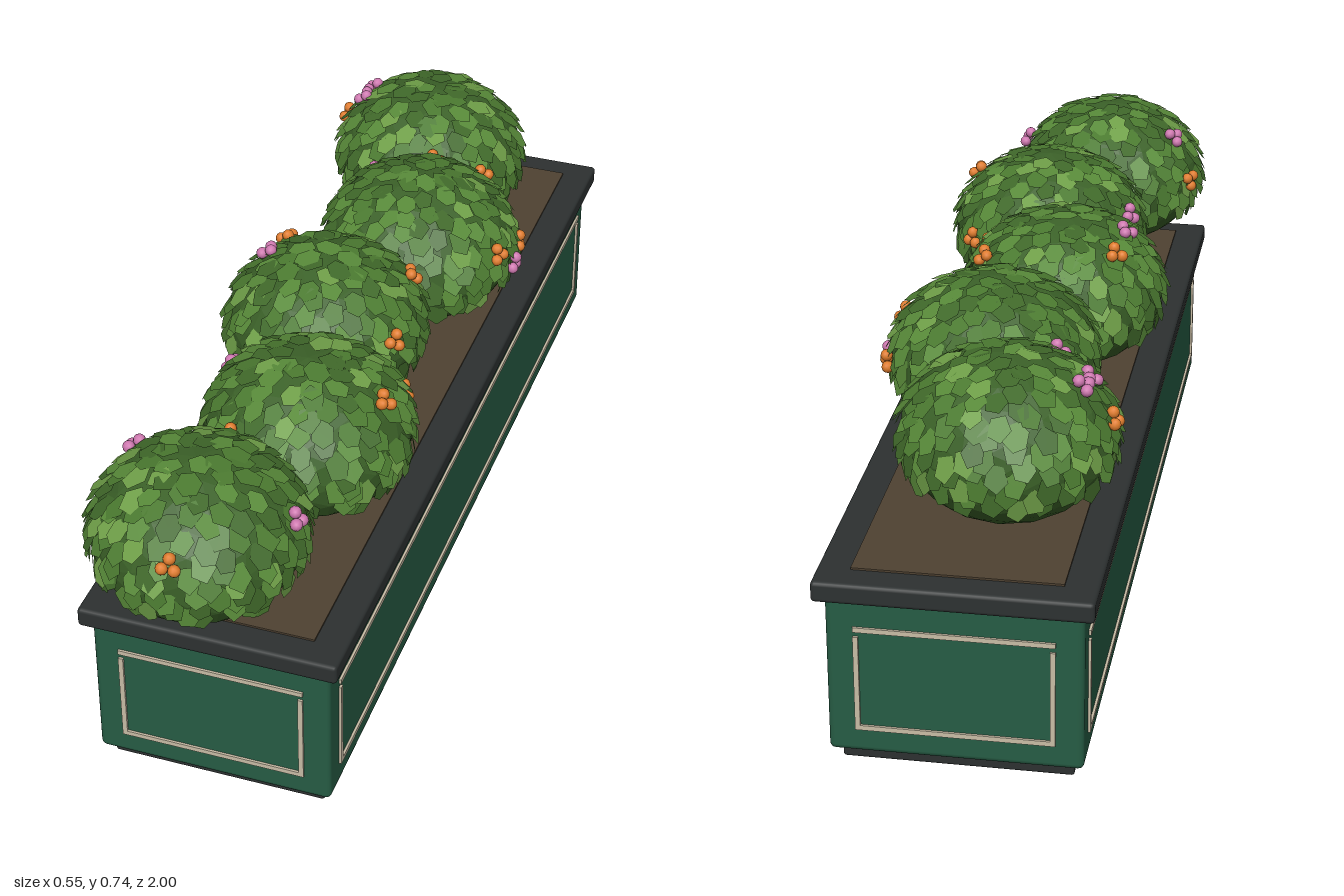
import * as THREE from 'three';
import { mergeGeometries } from 'three/addons/utils/BufferGeometryUtils.js';
import { RoundedBoxGeometry } from 'three/addons/geometries/RoundedBoxGeometry.js';

const mat = (color, extra = {}) => new THREE.MeshStandardMaterial({ color, ...extra });
const MID_Z = -0.055; // centre of the planter along z
const BUSH = { rx: 0.208, ry: 0.166, y: 0.57 };
const UP = new THREE.Vector3(0, 1, 0);

function seeded(seed) {
  let s = seed;
  return () => (s = (s * 16807) % 2147483647) / 2147483647;
}

function add(parent, name, geometry, material) {
  const mesh = new THREE.Mesh(geometry, material);
  mesh.name = name;
  parent.add(mesh);
  return mesh;
}

// Point on the bush ellipsoid in direction d, and its surface normal
const onBush = (d, k = 1) => new THREE.Vector3(d.x * BUSH.rx * k, d.y * BUSH.ry * k, d.z * BUSH.rx * k);
const bushNormal = (d) => new THREE.Vector3(d.x / BUSH.rx, d.y / BUSH.ry, d.z / BUSH.rx).normalize();

// Rectangular moulding in the xy plane, w wide
function trimFrame(w, material) {
  const frame = new THREE.Group();
  const t = 0.01, low = 0.085, high = 0.295;
  for (const y of [low, high]) {
    add(frame, 'trimRail', new THREE.BoxGeometry(w, t, t), material).position.y = y;
  }
  for (const s of [-1, 1]) {
    add(frame, 'trimStile', new THREE.BoxGeometry(t, 0.2, t), material)
      .position.set(s * (w - t) / 2, 0.18, 0);
  }
  return frame;
}

function buildPlanter() {
  const planter = new THREE.Group();
  planter.name = 'planter';
  planter.position.z = MID_Z;
  const dark = mat(0x2d3131), green = mat(0x265c44), cream = mat(0xc9bda6);
  const slab = (name, w, y0, y1, d, r, m) => {
    add(planter, name, new RoundedBoxGeometry(w, y1 - y0, d, 2, r), m).position.y = (y0 + y1) / 2;
  };
  slab('base', 0.444, 0, 0.029, 1.8, 0.006, dark);
  slab('boxBody', 0.486, 0.029, 0.36, 1.85, 0.012, green);
  slab('rim', 0.528, 0.355, 0.397, 1.89, 0.008, dark);
  add(planter, 'soil', new THREE.BoxGeometry(0.4, 0.03, 1.77), mat(0x4f4232)).position.y = 0.386;

  // Moulding on the two ends and the two long sides
  for (const s of [-1, 1]) {
    const end = trimFrame(0.38, cream);
    end.name = 'endTrim';
    end.position.z = s * 0.925;
    const side = trimFrame(1.74, cream);
    side.name = 'sideTrim';
    side.rotation.y = Math.PI / 2;
    side.position.x = s * 0.243;
    planter.add(end, side);
  }
  return planter;
}

const LEAF_MATS = [0x40692a, 0x4b7a30, 0x588a39, 0x6f9f48]
  .map((c) => mat(c, { side: THREE.DoubleSide, flatShading: true }));
const CORE = mat(0x3b6128, { flatShading: true });
const FLOWER = { o: mat(0xe07c2c), p: mat(0xcf78b0) };

// Overlapping polygonal leaves on a golden spiral, each with its lower end lifted
function addLeaves(bush, rand) {
  const batches = LEAF_MATS.map(() => []);
  const count = 230, basis = new THREE.Matrix4();
  for (let i = 0; i < count; i++) {
    const y = 0.99 - 1.41 * (i + 0.5) / count + (rand() - 0.5) * 0.05;
    const a = i * 2.39996 + (rand() - 0.5) * 0.25;
    const h = Math.sqrt(Math.max(0, 1 - y * y));
    const d = new THREE.Vector3(h * Math.cos(a), y, h * Math.sin(a));
    const normal = bushNormal(d).addScaledVector(UP, 0.2 + rand() * 0.25);
    normal.x += (rand() - 0.5) * 0.25;
    normal.z += (rand() - 0.5) * 0.25;
    normal.normalize();
    const side = new THREE.Vector3().crossVectors(UP, normal).normalize();
    const along = new THREE.Vector3().crossVectors(normal, side);
    const leaf = new THREE.CircleGeometry(0.024 + rand() * 0.005, rand() < 0.6 ? 5 : 6);
    leaf.rotateZ(rand() * 6.28).scale(0.9, 1.12, 1);
    basis.makeBasis(side, along, normal).setPosition(onBush(d, 1.015));
    leaf.applyMatrix4(basis);
    const pick = rand();
    batches[pick < 0.25 ? 0 : pick < 0.6 ? 1 : pick < 0.88 ? 2 : 3].push(leaf);
  }
  batches.forEach((b, i) => b.length && add(bush, 'leaves', mergeGeometries(b), LEAF_MATS[i]));
}

// Three small blossoms side by side
function addFlower(bush, [kind, x, y, z], spin) {
  const d = new THREE.Vector3(x, y, z).normalize();
  const blossoms = [0, 1, 2].map((k) => {
    const a = spin + k * 2.094;
    return new THREE.IcosahedronGeometry(0.0125, 1)
      .translate(Math.cos(a) * 0.014, Math.sin(a) * 0.014, 0);
  });
  const cluster = add(bush, 'flowerCluster', mergeGeometries(blossoms), FLOWER[kind]);
  cluster.position.copy(onBush(d, 1.05));
  cluster.quaternion.setFromUnitVectors(new THREE.Vector3(0, 0, 1), bushNormal(d));
}

// Bush centres with flower kinds (orange, pink) and directions
const BUSHES = [
  { x: -0.05, z: -0.67, flowers: [['p', -0.72, 0.7, 0.05], ['p', -0.68, 0.7, -0.15],
    ['o', -0.95, 0.3, -0.1], ['o', 0.3, 0.5, 0.8], ['o', 0.75, 0.25, 0.6]] },
  { x: 0.04, z: -0.31, flowers: [['o', 0.93, 0.25, 0.32], ['p', 0.99, -0.1, 0],
    ['o', 0.95, -0.03, -0.3], ['p', -0.7, 0.4, -0.6]] },
  { x: -0.05, z: 0.05, flowers: [['o', -0.55, 0.7, -0.45], ['p', -0.6, 0.8, -0.05],
    ['o', 0.75, 0.55, -0.4], ['o', 0.85, 0.3, 0.45]] },
  { x: 0.04, z: 0.41, flowers: [['o', 0.76, 0.65, 0.08], ['p', -0.9, 0.35, -0.35],
    ['o', -0.45, 0.4, 0.75], ['o', 0.85, 0.1, -0.9]] },
  { x: -0.05, z: 0.775, flowers: [['o', 0.1, 0.38, 0.92], ['p', -0.72, 0.65, -0.3],
    ['p', 0.92, 0.4, 0], ['o', -0.9, 0.1, -0.42]] },
];

export function createModel() {
  const model = new THREE.Group();
  model.name = 'flowerPlanter';
  model.add(buildPlanter());
  BUSHES.forEach(({ x, z, flowers }, i) => {
    const rand = seeded(1013 + i * 7919);
    const bush = new THREE.Group();
    bush.name = 'bush';
    bush.position.set(x, BUSH.y, z);
    const core = new THREE.IcosahedronGeometry(1, 3).scale(BUSH.rx, BUSH.ry, BUSH.rx);
    add(bush, 'bushCore', core, CORE);
    addLeaves(bush, rand);
    flowers.forEach((f) => addFlower(bush, f, rand() * 6.28));
    model.add(bush);
  });
  return model;
}
